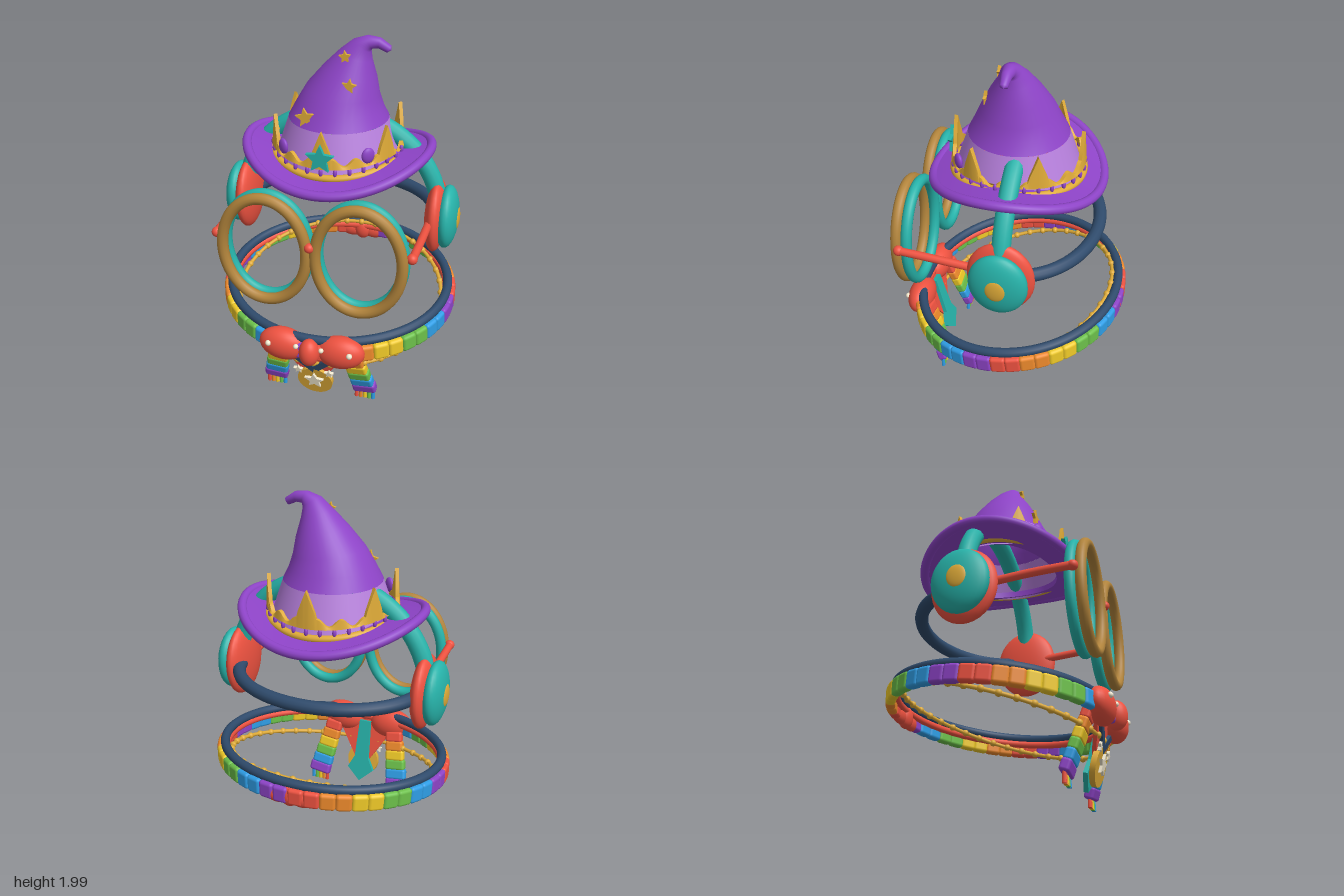
import * as THREE from 'three';
import { toCreasedNormals } from 'three/addons/utils/BufferGeometryUtils.js';
import { RoundedBoxGeometry } from 'three/addons/geometries/RoundedBoxGeometry.js';

const V = (x, y, z) => new THREE.Vector3(x, y, z);
const mat = (color, side = THREE.FrontSide) => new THREE.MeshStandardMaterial({ color, side });
const purple = mat(0x8e44c8, THREE.DoubleSide), lavender = mat(0xb780dd, THREE.DoubleSide);
const gold = mat(0xdfab38), teal = mat(0x27b3aa), red = mat(0xee5240), navy = mat(0x2f4b6c);
const brass = mat(0xb3853c), cream = mat(0xf3ead0);
const rainbow = [0x8e44c8, 0x2f9ee6, 0x6cc04a, 0xf0ca28, 0xee8a2c, 0xee5240].map(c => mat(c));
const hatZ = -0.02, scarfZ = -0.03;

function add(parent, name, geometry, material, x = 0, y = 0, z = 0) {
  const mesh = new THREE.Mesh(geometry, material);
  mesh.name = name;
  mesh.position.set(x, y, z);
  parent.add(mesh);
  return mesh;
}
function group(parent, name) {
  const g = new THREE.Group();
  g.name = name;
  parent.add(g);
  return g;
}
function blob(parent, name, material, p, rx, ry = rx, rz = rx) {
  const mesh = add(parent, name, new THREE.SphereGeometry(1, 28, 18), material, ...p);
  mesh.scale.set(rx, ry, rz);
  return mesh;
}
const tube = (points, r, closed = false) =>
  new THREE.TubeGeometry(new THREE.CatmullRomCurve3(points, closed), closed ? 120 : 48, r, 12, closed);

// Closed elliptical tube around y; height(a, z) with a = 0 at the front
const ellipsePoint = (a, rx, rz, cz, height) => {
  const z = cz + rz * Math.cos(a);
  return V(rx * Math.sin(a), height(a, z), z);
};
function loopTube(rx, rz, cz, r, height) {
  const pts = [];
  for (let i = 0; i < 64; i++) pts.push(ellipsePoint(i / 64 * Math.PI * 2, rx, rz, cz, height));
  return tube(pts, r, true);
}

// Skin over cross-sections, each a closed ring of points
function loft(sections, closed = false) {
  const n = sections[0].length, m = sections.length, index = [];
  for (let i = 0; i < (closed ? m : m - 1); i++) for (let j = 0; j < n; j++) {
    const k = (i + 1) % m, l = (j + 1) % n;
    index.push(i * n + j, k * n + j, i * n + l, k * n + j, k * n + l, i * n + l);
  }
  const g = new THREE.BufferGeometry().setFromPoints(sections.flat());
  g.setIndex(index);
  g.computeVertexNormals();
  return g;
}
function starGeometry(r, depth = 0.016) {
  const pts = [];
  for (let i = 0; i < 10; i++) {
    const a = Math.PI / 2 + i * Math.PI / 5, q = i % 2 ? r * 0.47 : r;
    pts.push(new THREE.Vector2(q * Math.cos(a), q * Math.sin(a)));
  }
  return new THREE.ExtrudeGeometry(new THREE.Shape(pts), { depth, bevelEnabled: false }).translate(0, 0, -depth / 2);
}
function plate(points, depth) {
  const shape = new THREE.Shape(points.map(p => new THREE.Vector2(...p)));
  return new THREE.ExtrudeGeometry(shape, { depth, bevelEnabled: false });
}

function buildHat(root) {
  const hat = group(root, 'hat');
  // Brim: flat ring bent up at the sides and down at front and back
  const profile = [[0.32, 1.335], [0.4, 1.335], [0.49, 1.335], [0.49, 1.36], [0.4, 1.365], [0.32, 1.37], [0.32, 1.335]];
  const brim = new THREE.LatheGeometry(profile.map(p => new THREE.Vector2(...p)), 64);
  const pos = brim.attributes.position;
  for (let i = 0; i < pos.count; i++) {
    const x = pos.getX(i), z = pos.getZ(i);
    pos.setY(i, pos.getY(i) + (x * x - z * z) * 0.24);
    pos.setZ(i, z * 0.92);
  }
  add(hat, 'brim', toCreasedNormals(brim, 0.7), purple, 0, 0, hatZ);
  add(hat, 'brimEdge', loopTube(0.5, 0.455, hatZ, 0.026, a => 1.348 - 0.06 * Math.cos(2 * a)), purple);
  add(hat, 'hatBand', new THREE.CylinderGeometry(0.268, 0.335, 0.2, 48, 1, true), lavender, 0, 1.45, hatZ);
  // Cone with a tip bent sideways: x, y, radius, tilt
  const spine = [[0, 1.55, 0.268, 0], [0.008, 1.62, 0.232, 0.06], [0.023, 1.7, 0.195, 0.12], [0.062, 1.8, 0.143, 0.22],
    [0.092, 1.89, 0.088, 0.3], [0.125, 1.945, 0.055, 0.55], [0.165, 1.966, 0.035, 1.2], [0.215, 1.963, 0.028, 1.75],
    [0.265, 1.935, 0.021, 2.1], [0.275, 1.93, 0.001, 2.1]];
  const rings = spine.map(([x, y, r, t]) => Array.from({ length: 36 }, (_, j) => {
    const a = j / 36 * Math.PI * 2, c = r * Math.cos(a);
    return V(x + c * Math.cos(t), y - c * Math.sin(t), hatZ + (x > 0.1 ? 0.01 : 0) + r * Math.sin(a));
  }));
  add(hat, 'cone', loft(rings), purple);
  for (const [x, y, z, r, turn] of [[0.055, 1.9, 0.068, 0.034, 0.1], [0.093, 1.77, 0.13, 0.04, -0.1], [-0.12, 1.605, 0.2, 0.053, 0.15]])
    add(hat, 'hatStar', starGeometry(r), gold, x, y, z).rotation.z = turn;
}

function buildCrown(root) {
  const crown = group(root, 'crown'), sections = [];
  // Band with six points
  for (let i = 0; i < 240; i++) {
    const a = i / 240 * Math.PI * 2, deg = i * 1.5 % 60, t = Math.min(deg, 60 - deg);
    const top = t < 9 ? 1.455 + (1 - t / 9) * 0.135 : 1.425 + 0.02 * Math.cos((t - 9) / 21 * Math.PI * 2);
    const low = 1.405 - 0.015 * Math.cos(2 * a), p = (r, y) => V(r * Math.sin(a), y, hatZ + r * Math.cos(a));
    sections.push([p(0.36, low), p(0.352, top), p(0.332, top), p(0.338, low)]);
  }
  add(crown, 'crownBand', toCreasedNormals(loft(sections, true), 0.5), gold);
  add(crown, 'crownBase', loopTube(0.352, 0.348, hatZ, 0.02, a => 1.357 - 0.02 * Math.cos(2 * a)), gold);
  for (let i = 0; i < 30; i++) {
    const a = i / 30 * Math.PI * 2, p = ellipsePoint(a, 0.353, 0.353, hatZ, () => 1.39 - 0.02 * Math.cos(2 * a));
    blob(crown, 'crownStud', purple, p, 0.011, 0.022, 0.011);
  }
  for (const s of [-1, 1])
    blob(crown, 'crownGem', purple, [0.225 * s, 1.455, 0.245], 0.036, 0.042, 0.018).rotation.y = 0.7 * s;
  add(crown, 'crownStar', starGeometry(0.078, 0.022), teal, 0, 1.45, 0.345);
}

function buildHeadphones(root) {
  const phones = group(root, 'headphones'), over = [], behind = [];
  for (let i = 0; i <= 24; i++) {
    const a = i / 24 * Math.PI, c = Math.cos(a), s = Math.sin(a);
    over.push(V(0.56 * c, 1 + 0.55 * s, -0.06));
    behind.push(V(0.53 * c, 1, -0.06 - 0.41 * s));
  }
  add(phones, 'headband', tube(over, 0.05), teal);
  add(phones, 'neckband', tube(behind, 0.036), navy);
  for (const s of [-1, 1]) {
    blob(phones, 'earCushion', red, [0.545 * s, 1, -0.06], 0.06, 0.21, 0.18);
    blob(phones, 'earShell', teal, [0.605 * s, 1, -0.06], 0.065, 0.18, 0.157);
    blob(phones, 'earBadge', gold, [0.66 * s, 1, -0.06], 0.016, 0.066, 0.056);
  }
}

function buildGlasses(root) {
  const glasses = group(root, 'glasses');
  for (const s of [-1, 1]) {
    for (const [name, z, m] of [['rimFront', 0.53, brass], ['rimBack', 0.473, teal]]) {
      const pts = Array.from({ length: 48 }, (_, i) => {
        const a = i / 48 * Math.PI * 2;
        return V(0.25 * s + 0.227 * Math.cos(a), 0.988 + 0.296 * Math.sin(a), z);
      });
      add(glasses, name, tube(pts, 0.03, true), m);
    }
    blob(glasses, 'hinge', red, [0.518 * s, 1.04, 0.5], 0.028);
    add(glasses, 'arm', tube([V(0.52 * s, 1.04, 0.5), V(0.525 * s, 1.03, 0.3), V(0.525 * s, 1.01, 0.05)], 0.022), red);
  }
  blob(glasses, 'bridgeBead', red, [0, 1.05, 0.55], 0.026);
}

function buildScarf(root) {
  const scarf = group(root, 'scarf'), height = (a, z) => 0.475 - 0.11 * z;
  // Ring of padded blocks, two per colour
  for (let i = 0; i < 48; i++) {
    const a = Math.PI - (i + 0.5) / 48 * Math.PI * 2, p = ellipsePoint(a, 0.655, 0.59, scarfZ, height);
    const q = ellipsePoint(a + 0.02, 0.655, 0.59, scarfZ, height);
    const block = add(scarf, 'scarfBlock', new RoundedBoxGeometry(0.088, 0.096, 0.052, 2, 0.018), rainbow[(i >> 1) % 6], ...p);
    block.rotation.order = 'YZX';
    block.rotation.y = Math.atan2(p.z - q.z, q.x - p.x);
    block.rotation.z = Math.atan2(q.y - p.y, Math.hypot(q.x - p.x, q.z - p.z));
  }
  add(scarf, 'scarfLining', loopTube(0.628, 0.563, scarfZ, 0.02, (a, z) => height(a, z) + 0.025), red);
  add(scarf, 'collarCord', loopTube(0.635, 0.57, scarfZ, 0.026, (a, z) => height(a, z) + 0.062), navy);
  // Hanging tails with fringe
  for (const s of [-1, 1]) {
    const tail = group(scarf, 'scarfTail');
    [5, 4, 3, 2, 1, 0].forEach((c, i) => {
      const block = add(tail, 'tailBlock', new RoundedBoxGeometry(0.105 + 0.006 * i, 0.068, 0.055, 2, 0.016), rainbow[c],
        s * (0.205 + 0.011 * i), 0.365 - 0.055 * i, 0.475 - 0.019 * i);
      block.rotation.set(0.33, 0, s * 0.12);
    });
    for (let i = 0; i < 5; i++)
      add(tail, 'fringe', new THREE.CylinderGeometry(0.009, 0.012, 0.07, 8), rainbow[5 - i], s * 0.262 + (i - 2) * 0.024, 0.042, 0.375);
  }
}

function buildBow(root) {
  const bow = group(root, 'bow');
  for (const s of [-1, 1]) {
    blob(bow, 'bowLobe', red, [0.16 * s, 0.42, 0.535], 0.135, 0.095, 0.075).rotation.z = 0.08 * s;
    blob(bow, 'bowPearl', cream, [0.225 * s, 0.45, 0.597], 0.016);
    blob(bow, 'bowPearl', cream, [0.07 * s, 0.455, 0.595], 0.014);
    blob(bow, 'backBowLobe', red, [0.07 * s, 0.525, -0.61], 0.07, 0.045, 0.03);
  }
  blob(bow, 'bowKnot', red, [0, 0.42, 0.58], 0.056, 0.08, 0.06);
  blob(bow, 'backKnot', red, [0, 0.535, -0.605], 0.052, 0.065, 0.04);
}

function buildPendant(root) {
  // Leans inward towards its lower tip
  const pendant = group(root, 'pendant');
  pendant.position.set(0, 0.42, 0.51);
  pendant.rotation.x = 0.24;
  add(pendant, 'neckerchief', plate([[-0.2, 0], [0, -0.33], [0.2, 0]], 0.022), red);
  add(pendant, 'ribbon', plate([[-0.035, 0], [-0.045, -0.24], [-0.085, -0.32], [0, -0.4], [0.085, -0.32], [0.045, -0.24], [0.035, 0]], 0.025), teal, 0, 0, -0.022);
  add(pendant, 'collarTrim', plate([[-0.13, -0.07], [0, -0.2], [0.13, -0.07], [0.08, -0.07], [0, -0.145], [-0.08, -0.07]], 0.02), navy, 0, 0, 0.02);
  add(pendant, 'medallion', new THREE.CylinderGeometry(0.1, 0.1, 0.03, 36).rotateX(Math.PI / 2), gold, 0, -0.265, 0.025);
  add(pendant, 'medallionStar', starGeometry(0.058), cream, 0, -0.25, 0.047);
  for (const s of [-1, 1]) add(pendant, 'smallStar', starGeometry(0.028), cream, 0.088 * s, -0.18, 0.04);
}

function buildChain(root) {
  const chain = group(root, 'beadChain'), height = (a, z) => 0.43 - 0.29 * z + 0.04 * z * z;
  add(chain, 'chainCord', loopTube(0.6, 0.535, scarfZ, 0.011, height), gold);
  for (let i = 0; i < 40; i++)
    blob(chain, 'chainBead', gold, ellipsePoint(i / 40 * Math.PI * 2, 0.6, 0.535, scarfZ, height), 0.019);
}

export function createModel() {
  const root = new THREE.Group();
  root.name = 'costumeAccessories';
  [buildHat, buildCrown, buildHeadphones, buildGlasses, buildScarf, buildBow, buildPendant, buildChain].forEach(build => build(root));
  return root;
}
